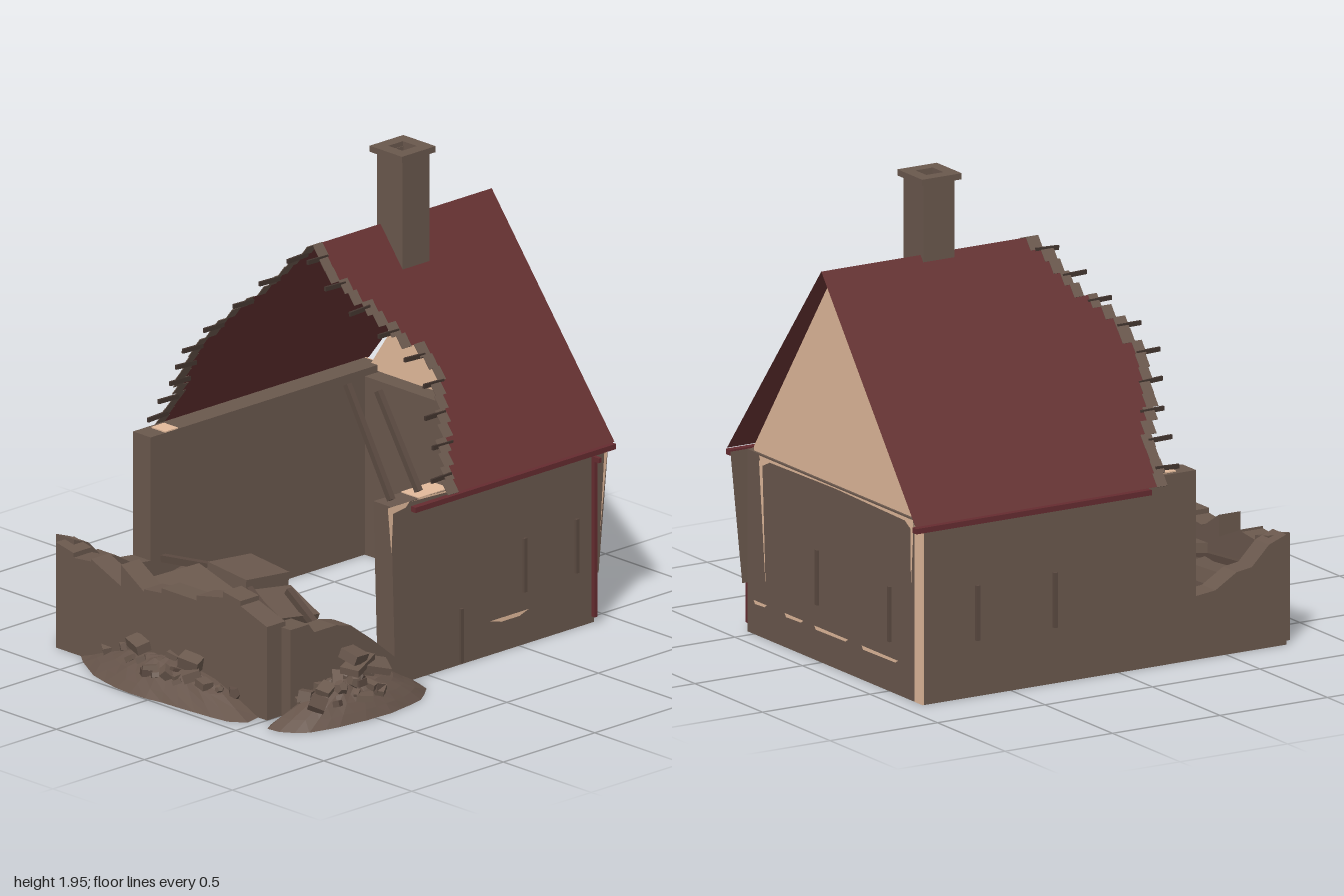
import * as THREE from 'three';

const mat = (name, color, double) => new THREE.MeshStandardMaterial({
  name, color, flatShading: true, side: double ? THREE.DoubleSide : THREE.FrontSide });

export function createModel() {
  const stone = mat('stone', 0x6a584d, true), plaster = mat('plaster', 0xe2ba9b, true);
  const tiles = mat('roof tiles', 0x653232, true), gutterRed = mat('gutter red', 0x652c30);
  const wood = mat('weathered wood', 0x5b4a41), rubble = mat('rubble', 0x66544a, true);
  const darkWood = mat('dark batten wood', 0x43352f);
  const root = new THREE.Group();
  let seed = 7;
  const rnd = (a = 0, b = 1) => {
    seed = (seed * 16807) % 2147483647;
    return a + (b - a) * seed / 2147483647;
  };
  const add = (name, geo, m, parent = root) => {
    const mesh = new THREE.Mesh(geo, m);
    mesh.name = name;
    parent.add(mesh);
    return mesh;
  };
  const group = (name) => {
    const g = new THREE.Group();
    g.name = name;
    root.add(g);
    return g;
  };
  // box given by its minimum and maximum corners
  const block = (name, x0, x1, y0, y1, z0, z1, m, parent) => {
    const b = add(name, new THREE.BoxGeometry(x1 - x0, y1 - y0, z1 - z0), m, parent);
    b.position.set((x0 + x1) / 2, (y0 + y1) / 2, (z0 + z1) / 2);
    return b;
  };
  // square timber between two points
  const beam = (name, a, b, w, parent) => {
    const A = new THREE.Vector3(...a), B = new THREE.Vector3(...b);
    const m = add(name, new THREE.BoxGeometry(w, w, A.distanceTo(B)), wood, parent);
    m.position.copy(A).lerp(B, 0.5);
    m.lookAt(B);
    return m;
  };
  const shapeOf = (pts) => new THREE.Shape(pts.map((p) => new THREE.Vector2(...p)));
  const extrude = (pts, depth) => new THREE.ExtrudeGeometry(shapeOf(pts), { depth, bevelEnabled: false });
  const flat = (pts) => new THREE.ShapeGeometry(shapeOf(pts));

  // front and back walls, outlined in x and y
  add('frontWall', extrude([[-0.75, 0], [0.91, 0], [0.91, 0.745], [-0.2, 0.75], [-0.18, 0.12], [-0.3, 0.22],
    [-0.42, 0.31], [-0.5, 0.33], [-0.62, 0.33], [-0.65, 0.37], [-0.75, 0.37]], 0.1), stone).position.z = 0.45;
  add('backWall', extrude([[-0.78, 0], [0.905, 0], [0.905, 0.775], [-0.36, 0.775], [-0.36, 0.26], [-0.45, 0.27],
    [-0.55, 0.33], [-0.62, 0.34], [-0.7, 0.42], [-0.78, 0.45]], 0.1), stone).position.z = -0.75;
  block('backWallEnd', 0.905, 0.912, 0, 0.775, -0.75, -0.69, plaster);
  block('rightWall', 0.81, 0.911, 0, 0.745, -0.69, 0.549, stone);
  // thin loose facing at the front right corner
  add('looseFacing', flat([[0.905, 0.2], [0.935, 0.2], [0.99, 0.745], [0.905, 0.745]]), stone).position.z = 0.549;

  // broken left wall, in steps with sloping tops
  const leftWall = group('leftWall');
  const steps = [[-0.7, 0.44, 0.42], [-0.6, 0.4, 0.41], [-0.5, 0.42, 0.35], [-0.33, 0.44, 0.36], [-0.2, 0.37, 0.38],
    [-0.1, 0.4, 0.4], [0.1, 0.42, 0.45], [0.25, 0.475, 0.46], [0.35, 0.44, 0.39], [0.5]];
  for (let i = 0; i < steps.length - 1; i++) {
    const [z, h0, h1] = steps[i], z1 = steps[i + 1][0];
    const g = extrude([[-z1, 0], [-z, 0], [-z, h0], [-z1, h1]], 0.1);
    add('leftWallStep', g.rotateY(Math.PI / 2), stone, leftWall).position.x = -0.83;
  }

  // gable and plaster caps on broken wall tops
  const gable = add('gable', extrude([[-0.5, 0.75], [0.69, 0.75], [0.69, 0.77], [0.1, 1.625], [-0.5, 0.77]], 0.03).rotateY(Math.PI / 2), plaster);
  gable.position.x = 0.88;
  block('frontWallCap', -0.05, 0.12, 0.745, 0.753, 0.45, 0.55, plaster);
  block('backWallCap', -0.28, -0.21, 0.775, 0.78, -0.73, -0.65, plaster);

  // plaster showing through cracks, on the front and on the right side (outlined in z and y)
  const cracks = group('plasterCracks');
  const frontCrack = (pts) => { add('frontCrack', flat(pts), plaster, cracks).position.z = 0.552; };
  const sideCrack = (pts) => {
    const g = flat(pts.map(([z, y]) => [-z, y])).rotateY(Math.PI / 2);
    add('sideCrack', g, plaster, cracks).position.x = 0.913;
  };
  frontCrack([[0.34, 0.142], [0.55, 0.142], [0.5, 0.125], [0.4, 0.125]]);
  frontCrack([[-0.22, 0.75], [-0.1, 0.75], [-0.12, 0.73], [-0.19, 0.72], [-0.2, 0.55]]);
  frontCrack([[-0.1, 0.747], [0.9, 0.747], [0.55, 0.738], [0.2, 0.735]]);
  frontCrack([[0.94, 0.36], [0.985, 0.74], [0.965, 0.72]]);
  for (const [a, b] of [[0.4, 0.5], [0.13, 0.27], [-0.2, 0.05], [-0.57, -0.3]])
    sideCrack([[a, 0.14], [b, 0.14], [b - 0.01, 0.125], [a + 0.02, 0.128]]);
  sideCrack([[0.46, 0.72], [0.435, 0.72], [0.41, 0.2]]);
  sideCrack([[-0.66, 0.73], [-0.685, 0.73], [-0.665, 0.45]]);
  sideCrack([[0.46, 0.74], [0.44, 0.7], [0.38, 0.728], [-0.1, 0.735], [-0.62, 0.725], [-0.68, 0.69], [-0.68, 0.74]]);

  // slim upright timbers on the walls
  const studs = group('wallStuds');
  for (const [x, y] of [[0.525, 0.22], [0.81, 0.23], [0.18, 0.01]])
    block('frontStud', x - 0.008, x + 0.008, y, y + 0.225, 0.545, 0.562, wood, studs);
  for (const x of [0.66, 0.3]) block('backStud', x - 0.008, x + 0.008, 0.23, 0.455, -0.765, -0.745, wood, studs);
  for (const [z, y] of [[0.025, 0.23], [-0.51, 0.205]])
    block('sideStud', 0.9, 0.922, y, y + 0.225, z - 0.008, z + 0.008, wood, studs);

  // roof slopes: broken edge listed as y, x
  const RISE = 1.264, RIDGE = 1.63;
  const edges = {
    1: [[0.75, 0.1], [0.85, 0.12], [0.95, 0.19], [1.05, 0.24], [1.12, 0.29], [1.2, 0.27], [1.3, 0.17], [1.4, 0.1], [1.5, 0.03], [1.63, 0]],
    [-1]: [[0.75, -0.17], [0.9, -0.2], [1, -0.25], [1.1, -0.29], [1.2, -0.3], [1.3, -0.25], [1.4, -0.16], [1.5, -0.08], [1.63, -0.01]],
  };
  for (const s of [1, -1]) {
    const slope = group(s > 0 ? 'frontRoofSlope' : 'backRoofSlope');
    const zAt = (y) => -0.1 + s * (RIDGE - y) / RISE;
    const edgeAt = (y) => {
      const e = edges[s], i = Math.min(e.length - 2, Math.max(0, e.findIndex((p) => p[0] > y) - 1));
      return THREE.MathUtils.mapLinear(y, e[i][0], e[i + 1][0], e[i][1], e[i + 1][1]);
    };
    const tilt = -s * Math.atan(1 / RISE), rows = 20, dy = (RIDGE - 0.748) / rows;
    const pts = [[0.975, RIDGE], [0.975, 0.748]];
    for (let i = 0; i < rows; i++) {
      const y = 0.748 + i * dy, x = edgeAt(y + dy / 2) + rnd(-0.015, 0.015);
      pts.push([x, y], [x, y + dy]);
      // broken tile at the end of the row
      const t = add('brokenTile', new THREE.BoxGeometry(rnd(0.04, 0.06), 0.06, 0.003), stone, slope);
      t.position.set(x + 0.005, y + dy / 2, zAt(y + dy / 2));
      t.rotation.x = tilt;
    }
    const g = flat(pts), p = g.attributes.position;
    for (let i = 0; i < p.count; i++) p.setZ(i, zAt(p.getY(i)));
    g.computeVertexNormals();
    add('roofSheet', g, tiles, slope);
    // battens sticking out of the broken edge
    for (let y = 0.81; y < 1.62; y += 0.097) {
      const x = edgeAt(y), b = add('batten', new THREE.BoxGeometry(0.11, 0.018, 0.01), darkWood, slope);
      b.position.set(x + 0.05 - rnd(0.05, 0.1), y - 0.005, zAt(y));
      b.rotation.z = rnd(-0.05, 0.05);
    }
  }
  for (const [x, z0, y1, z1] of [[-0.16, 0.51, 1.18, 0.26], [-0.01, 0.51, 1.12, 0.28]])
    beam('leaningRafter', [x, 0.76, z0], [x, y1, z1], 0.025);

  // gutters and downpipe
  block('frontGutter', -0.12, 0.975, 0.72, 0.742, 0.58, 0.607, gutterRed);
  block('backGutter', -0.12, 0.975, 0.72, 0.742, -0.805, -0.775, gutterRed);
  block('downpipe', 0.887, 0.903, 0.03, 0.7, 0.56, 0.576, gutterRed);
  block('pipeElbow', 0.887, 0.903, 0.68, 0.7, 0.56, 0.6, gutterRed);

  // hollow chimney with a wider cap
  const tube = (r, hole, h) => {
    const sh = shapeOf([[-r, -r], [r, -r], [r, r], [-r, r]]);
    sh.holes.push(new THREE.Path([[-hole, -hole], [-hole, hole], [hole, hole], [hole, -hole]].map((q) => new THREE.Vector2(...q))));
    return new THREE.ExtrudeGeometry(sh, { depth: h, bevelEnabled: false }).rotateX(-Math.PI / 2);
  };
  add('chimneyStack', tube(0.073, 0.04, 0.465), stone).position.set(0.44, 1.465, -0.047);
  add('chimneyCap', tube(0.092, 0.04, 0.025), stone).position.set(0.44, 1.925, -0.05);
  block('flueFloor', 0.395, 0.485, 1.84, 1.85, -0.092, -0.002, stone);

  // rubble heaps: rings shrinking from an outline to a peak; spread keeps the chunks off the rim
  const heap = (name, outline, [cx, cz], h, stones, size, spread) => {
    const g = group(name), rings = 6, pos = [], idx = [];
    const curve = new THREE.CatmullRomCurve3(outline.map(([x, z]) => new THREE.Vector3(x, 0, z)), true);
    const n = 28, rim = curve.getSpacedPoints(n).slice(0, n);
    const height = (t) => h * Math.pow(1 - t * t, 1.2) + 0.003;
    for (let r = 0; r <= rings; r++) for (const q of rim) {
      const t = 1 - r / rings, k = t * (r ? 1 : rnd(0.97, 1.02));
      pos.push(cx + (q.x - cx) * k, r ? height(t) * rnd(0.93, 1.04) : 0, cz + (q.z - cz) * k);
    }
    for (let r = 0; r < rings; r++) for (let i = 0; i < n; i++) {
      const a = r * n + i, b = r * n + (i + 1) % n;
      idx.push(a, a + n, b, b, a + n, b + n);
    }
    const geo = new THREE.BufferGeometry();
    geo.setAttribute('position', new THREE.Float32BufferAttribute(pos, 3));
    geo.setIndex(idx);
    geo.computeVertexNormals();
    add('mound', geo, rubble, g);
    // loose chunks and shards lying on the mound
    for (let i = 0; i < stones; i++) {
      const q = rim[Math.floor(rnd(0, n))], t = Math.sqrt(rnd(0, spread)), w = size * rnd(0.5, 1.2);
      const c = add('stoneChunk', i % 3 ? new THREE.BoxGeometry(w, w * rnd(0.3, 0.7), w * rnd(0.5, 1.1))
        : new THREE.DodecahedronGeometry(w * 0.5), i % 4 ? stone : wood, g);
      c.position.set(cx + (q.x - cx) * t, height(t) + w * 0.12, cz + (q.z - cz) * t);
      c.rotation.set(rnd(-0.5, 0.5), rnd(0, 6.28), rnd(-0.5, 0.5));
    }
  };
  heap('innerHeap', [[-0.8, -0.35], [-0.58, -0.63], [-0.3, -0.62], [-0.1, -0.5], [-0.03, -0.05], [-0.15, 0.28], [-0.4, 0.4], [-0.65, 0.38], [-0.8, 0.1]],
    [-0.42, -0.12], 0.27, 34, 0.085, 0.65);
  heap('leftHeap', [[-0.74, -0.6], [-0.88, -0.5], [-0.99, -0.2], [-0.97, 0.2], [-0.92, 0.46], [-0.76, 0.42], [-0.72, 0]],
    [-0.81, -0.05], 0.13, 36, 0.065, 0.6);
  heap('frontHeap', [[-0.91, 0.57], [-0.85, 0.69], [-0.65, 0.76], [-0.35, 0.77], [-0.18, 0.72], [-0.09, 0.59], [-0.45, 0.55]],
    [-0.46, 0.65], 0.14, 30, 0.065, 0.45);

  // larger masonry slabs and stones at the tops of the heaps
  const slabs = group('fallenSlabs');
  for (const [x, y, z, w, h, d, rx, ry, rz] of [
    [-0.58, 0.31, -0.17, 0.24, 0.04, 0.32, 0.12, -0.2, 0.1], [-0.33, 0.31, -0.13, 0.22, 0.1, 0.24, 0.05, -0.08, -0.06],
    [-0.6, 0.28, 0.1, 0.23, 0.04, 0.18, 0.3, -0.15, 0.1], [-0.35, 0.26, 0.1, 0.2, 0.04, 0.2, 0.35, -0.1, -0.1],
    [-0.4, 0.26, -0.4, 0.22, 0.05, 0.2, -0.3, 0.2, 0.1], [-0.64, 0.24, -0.42, 0.16, 0.06, 0.16, -0.2, 0.5, 0.2],
    [-0.22, 0.25, -0.2, 0.1, 0.05, 0.22, 0.1, 0.3, -0.6], [-0.48, 0.19, 0.65, 0.16, 0.03, 0.08, 0.1, 0.4, 0.1],
    [-0.5, 0.23, 0.65, 0.09, 0.04, 0.08, 0.3, 0.2, -0.2], [-0.4, 0.17, 0.66, 0.12, 0.03, 0.1, 0.2, -0.5, -0.15],
    [-0.86, 0.15, 0.1, 0.06, 0.05, 0.09, 0.2, 0.3, 0.2], [-0.86, 0.15, -0.2, 0.06, 0.04, 0.1, 0.1, -0.3, 0.3]]) {
    const m = add('fallenSlab', new THREE.BoxGeometry(w, h, d), stone, slabs);
    m.position.set(x, y, z);
    m.rotation.set(rx, ry, rz);
  }
  const beams = group('fallenBeams');
  for (const [x, y0, z0, y1, z1] of [[-0.69, 0.3, -0.6, 0.26, -0.1], [-0.34, 0.28, -0.6, 0.33, -0.2],
    [-0.51, 0.36, 0.06, 0.12, 0.4], [-0.33, 0.32, 0.1, 0.13, 0.38], [-0.69, 0.31, 0.05, 0.16, 0.38]])
    beam('fallenBeam', [x, y0, z0], [x, y1, z1], 0.028, beams);

  return root;
}
